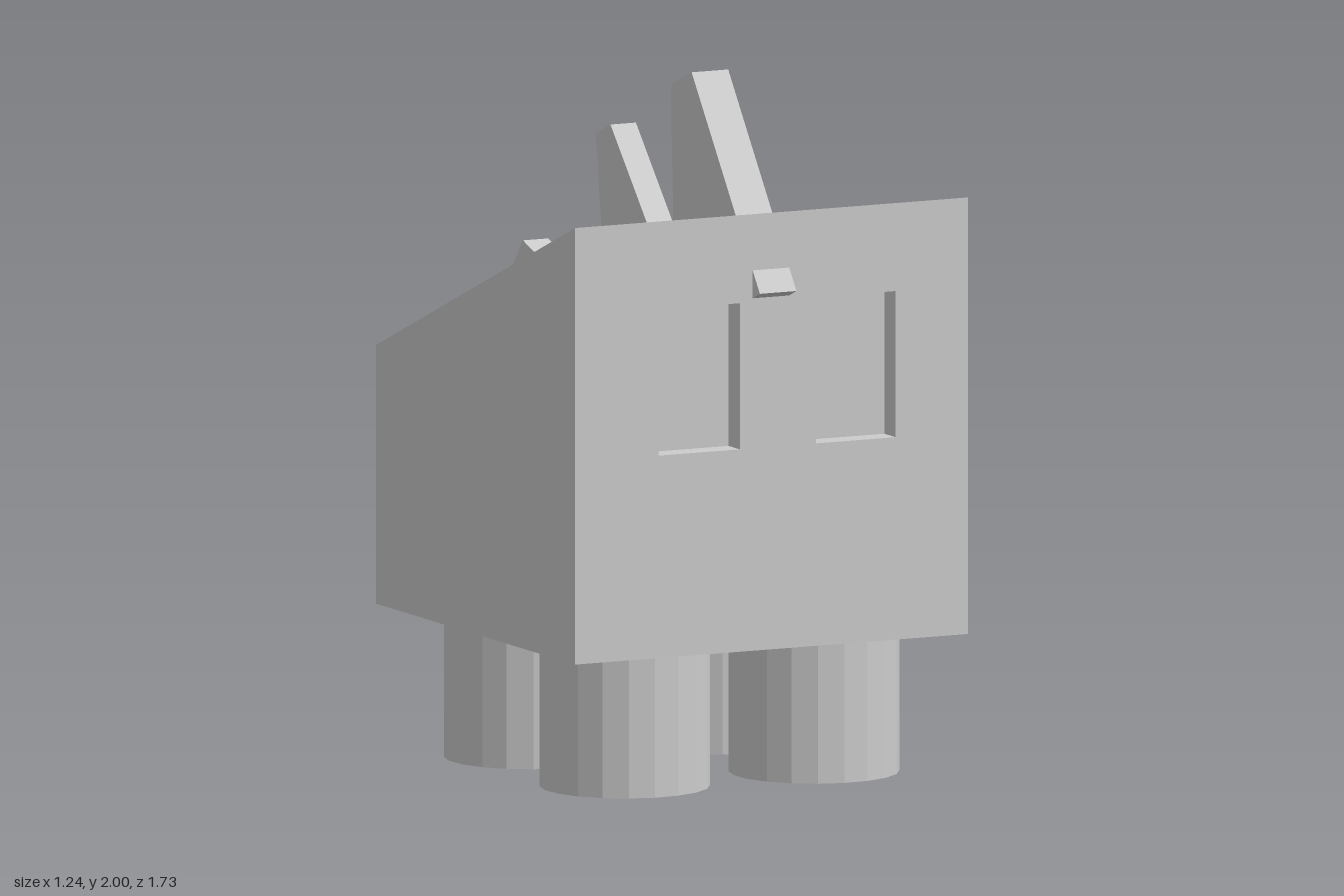
import * as THREE from 'three';

const FRONT = 0.82, BACK = -0.42, BOTTOM = 0.41, RECESS = 0.07;
const WIDTH = 1.235;
// height of the sloping top at a given z
const topAt = (z) => 1.145 + (z - BACK) * (1.65 - 1.145) / (FRONT - BACK);

// Side profile of [z, y] points, extruded across x and centred
function sidePlate(points, width) {
  const shape = new THREE.Shape(points.map(([z, y]) => new THREE.Vector2(z, y)));
  const geo = new THREE.ExtrudeGeometry(shape, { depth: width, bevelEnabled: false });
  return geo.translate(0, 0, -width / 2).rotateY(-Math.PI / 2);
}

function rectangle(target, x0, y0, x1, y1) {
  target.moveTo(x0, y0);
  target.lineTo(x1, y0);
  target.lineTo(x1, y1);
  target.lineTo(x0, y1);
  target.closePath();
  return target;
}

export function createModel() {
  const model = new THREE.Group();
  model.name = 'spikyBlockCreature';
  const grey = new THREE.MeshStandardMaterial({ color: 0xcccccc, flatShading: true });
  grey.name = 'lightGrey';
  const add = (name, geo, parent = model) => {
    const mesh = new THREE.Mesh(geo, grey);
    mesh.name = name;
    parent.add(mesh);
    return mesh;
  };

  // Wedge-topped body behind the face
  const faceBack = FRONT - RECESS;
  add('body', sidePlate([
    [BACK, BOTTOM], [faceBack, BOTTOM], [faceBack, topAt(faceBack)], [BACK, topAt(BACK)],
  ], WIDTH));

  // Face slab with two eye openings, its top edge following the slope
  const face = rectangle(new THREE.Shape(), -WIDTH / 2, BOTTOM, WIDTH / 2, topAt(FRONT));
  for (const [x0, x1] of [[-0.355, -0.1], [0.14, 0.39]]) {
    face.holes.push(rectangle(new THREE.Path(), x0, 0.985, x1, 1.4));
  }
  const faceGeo = new THREE.ExtrudeGeometry(face, { depth: RECESS, bevelEnabled: false });
  faceGeo.translate(0, 0, faceBack);
  const pos = faceGeo.attributes.position;
  for (let i = 0; i < pos.count; i++) {
    if (pos.getY(i) > 1.6) pos.setY(i, topAt(pos.getZ(i)));
  }
  faceGeo.computeVertexNormals();
  add('face', faceGeo);

  // Row of spikes from the forehead down the back
  const spikes = new THREE.Group();
  spikes.name = 'spikes';
  model.add(spikes);
  [
    [0.115, [[0.865, 1.43], [0.44, 2.0], [0.31, 1.945], [0.34, 1.21]]],
    [0.08, [[0.28, 1.36], [-0.1, 1.775], [-0.19, 1.74], [-0.12, 1.19]]],
    [0.08, [[-0.14, 1.2], [-0.645, 1.37], [-0.705, 1.295], [-0.39, 0.87]]],
    [0.08, [[-0.4, 0.837], [-0.865, 0.67], [-0.865, 0.58], [-0.4, 0.455]]],
  ].forEach(([width, points], i) => {
    add(`spike${i + 1}`, sidePlate(points, width), spikes).position.x = -0.002;
  });

  // Four stubby legs
  for (const [side, x] of [['Right', -0.3], ['Left', 0.295]]) {
    for (const [end, z] of [['front', 0.5], ['back', -0.095]]) {
      const leg = new THREE.CylinderGeometry(0.24, 0.24, BOTTOM, 20, 1, false, -Math.PI / 30);
      add(`${end}${side}Leg`, leg).position.set(x, BOTTOM / 2, z);
    }
  }
  return model;
}
